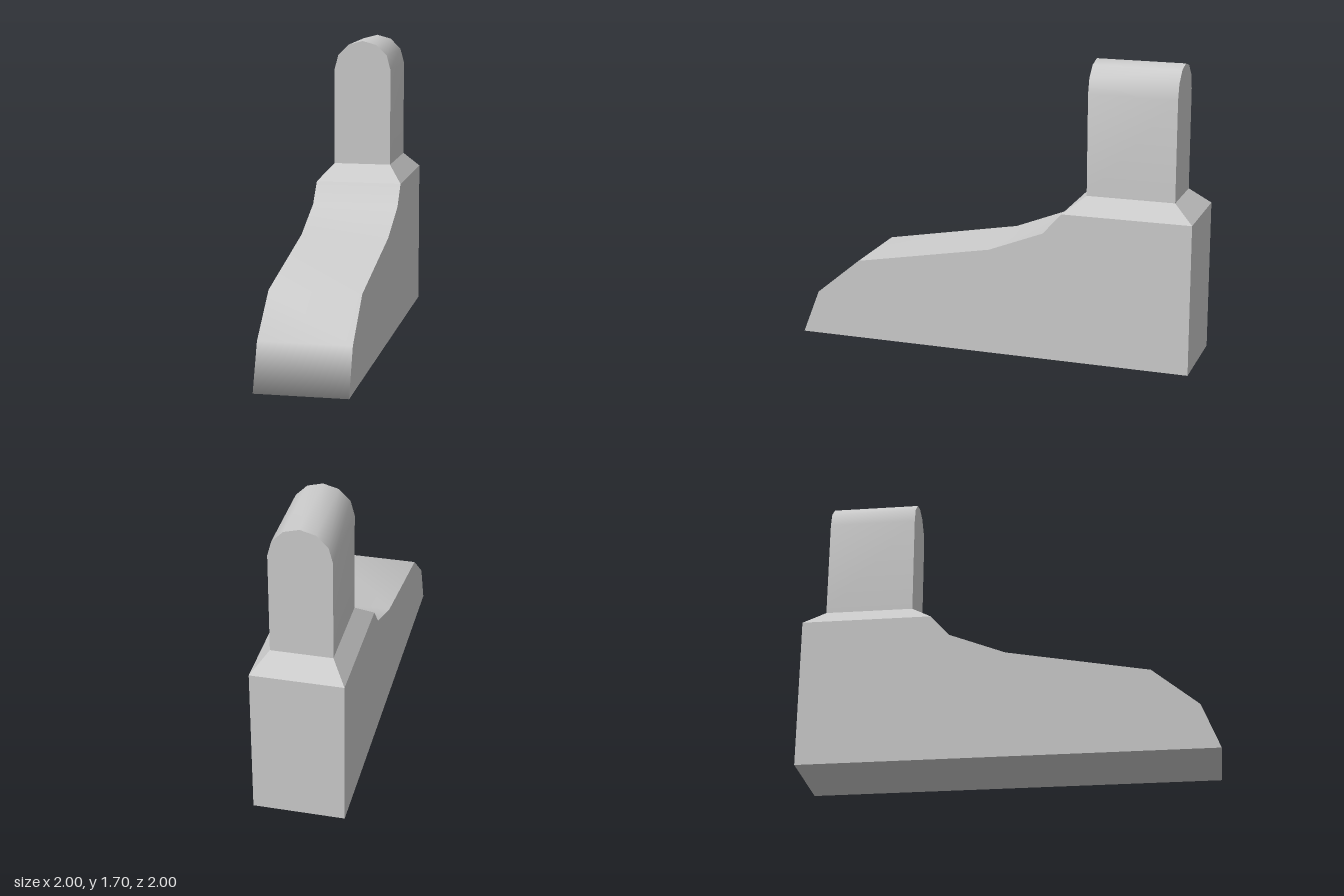
import * as THREE from 'three';
import { toCreasedNormals } from 'three/addons/utils/BufferGeometryUtils.js';
import { ConvexGeometry } from 'three/addons/geometries/ConvexGeometry.js';

const HALF = 0.255;      // half width of the foot
const LEG_HALF = 0.17;   // half width of the leg
const LEG = [0.545, 1.045]; // front and back of the leg along the foot
const HEEL = 1.16, ANKLE = 0.424, RIM = 0.86, LEG_BASE = 0.955;

// Side outline: heel, sole, toe, instep, ankle
const outline = [
  [HEEL, 0], [-1.16, 0], [-1.06, 0.255], [-0.8, 0.47],
  [0, 0.615], [0.318, 0.74], [ANKLE, RIM],
];

export function createModel() {
  const model = new THREE.Group();
  model.name = 'footModel';
  const foot = new THREE.Group();
  foot.name = 'foot';
  foot.rotation.y = Math.PI / 4;
  model.add(foot);

  const solid = new THREE.MeshStandardMaterial({ color: 0xcccccc });
  const sheet = new THREE.MeshStandardMaterial({ color: 0xcccccc, side: THREE.DoubleSide });
  const add = (name, geometry, material = solid) => {
    const mesh = new THREE.Mesh(geometry, material);
    mesh.name = name;
    foot.add(mesh);
    return mesh;
  };

  // Smooth strip running along the sole, round the toe and up the instep
  const positions = [], index = [];
  outline.forEach(([x, y], i) => {
    positions.push(x, y, -HALF, x, y, HALF);
    if (i) {
      const a = 2 * (i - 1);
      index.push(a, a + 1, a + 2, a + 1, a + 3, a + 2);
    }
  });
  const strip = new THREE.BufferGeometry();
  strip.setAttribute('position', new THREE.Float32BufferAttribute(positions, 3));
  strip.setIndex(index);
  strip.computeVertexNormals();
  add('soleAndInstep', strip);

  // Flat sides
  const sideShape = new THREE.Shape(
    [...outline, [HEEL, RIM]].map(([x, y]) => new THREE.Vector2(x, y)));
  for (const s of [-1, 1]) {
    add(s > 0 ? 'footSideA' : 'footSideB', new THREE.ShapeGeometry(sideShape), sheet)
      .position.z = s * HALF;
  }

  // Heel wall
  const heel = add('heel', new THREE.PlaneGeometry(2 * HALF, RIM));
  heel.rotation.y = Math.PI / 2;
  heel.position.set(HEEL, RIM / 2, 0);

  // Sloped collar between foot and leg
  const collar = [];
  for (const s of [-1, 1]) {
    for (const x of [ANKLE, HEEL]) collar.push(new THREE.Vector3(x, RIM, s * HALF));
    for (const x of LEG) collar.push(new THREE.Vector3(x, LEG_BASE, s * LEG_HALF));
  }
  add('ankleCollar', new ConvexGeometry(collar));

  // Upright leg with a rounded top
  const arch = [new THREE.Vector2(-LEG_HALF, LEG_BASE), new THREE.Vector2(LEG_HALF, LEG_BASE)];
  for (let i = 0; i <= 6; i++) {
    const a = (i * Math.PI) / 6;
    arch.push(new THREE.Vector2(LEG_HALF * Math.cos(a), 1.527 + LEG_HALF * Math.sin(a)));
  }
  const leg = new THREE.ExtrudeGeometry(new THREE.Shape(arch), {
    depth: LEG[1] - LEG[0], bevelEnabled: false,
  });
  leg.rotateY(Math.PI / 2).translate(LEG[0], 0, 0);
  add('leg', toCreasedNormals(leg, 0.7));

  return model;
}
